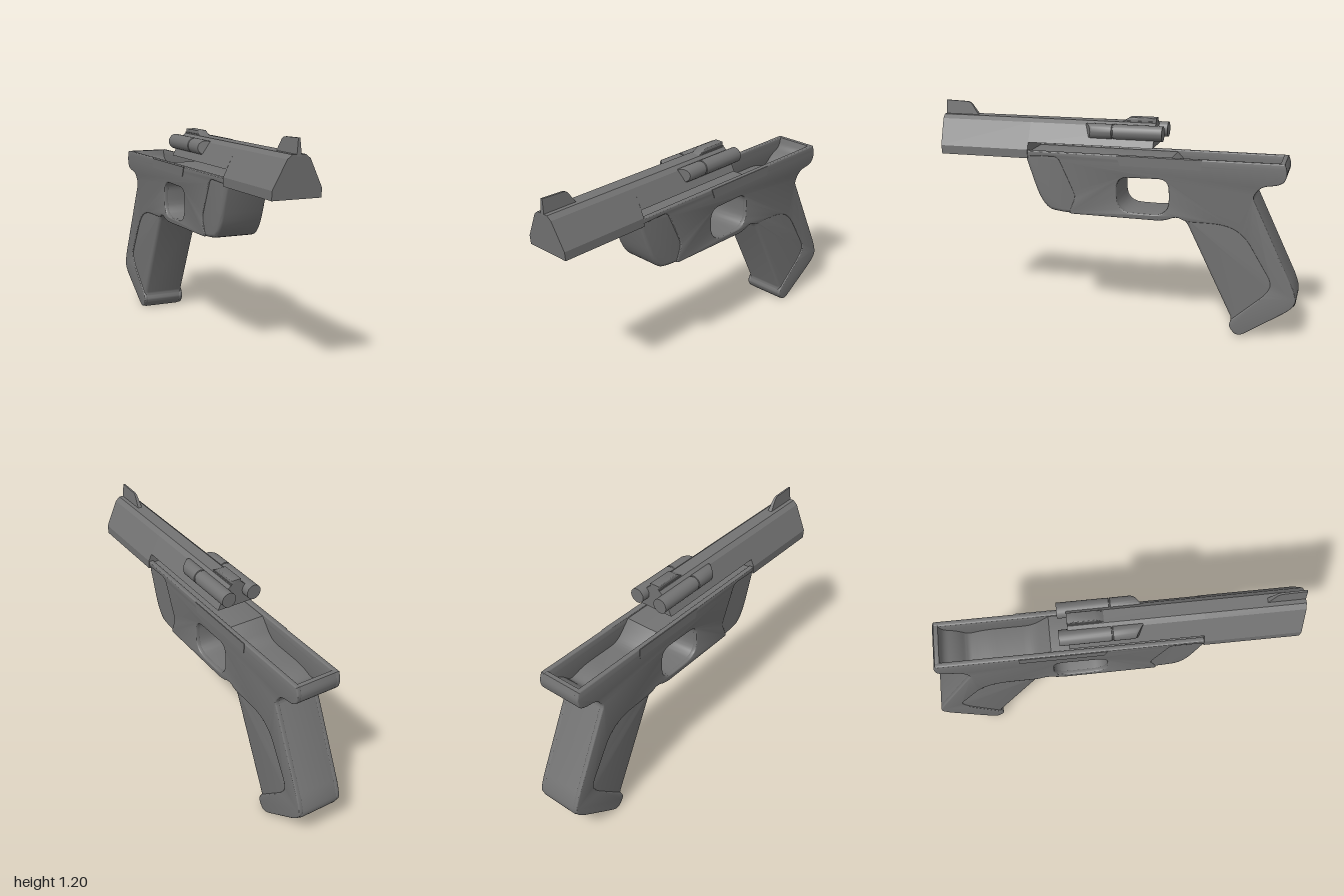
import * as THREE from 'three';
import { toCreasedNormals } from 'three/addons/utils/BufferGeometryUtils.js';

const material = new THREE.MeshStandardMaterial({ color: 0x737373 });

// Closed outline from [z, y, cornerRadius] points
function outline(points, target = new THREE.Shape()) {
  const n = points.length;
  points.forEach(([z, y, r = 0], i) => {
    const p = new THREE.Vector2(z, y);
    const toward = ([a, b]) => {
      const d = new THREE.Vector2(a, b).sub(p);
      return d.clone().setLength(Math.min(r, d.length() * 0.48)).add(p);
    };
    const a = r ? toward(points[(i + n - 1) % n]) : p;
    if (i === 0) target.moveTo(a.x, a.y); else target.lineTo(a.x, a.y);
    if (r) {
      const b = toward(points[(i + 1) % n]);
      target.quadraticCurveTo(z, y, b.x, b.y);
    }
  });
  target.closePath();
  return target;
}

// Side profile extruded across the model from x0 to x1
function slab(points, x0, x1, bevel = 0, holes = []) {
  const shape = outline(points);
  shape.holes = holes.map((h) => outline(h, new THREE.Path()));
  const g = new THREE.ExtrudeGeometry(shape, {
    depth: x1 - x0 - 2 * bevel, curveSegments: 6, bevelEnabled: bevel > 0,
    bevelSize: bevel, bevelThickness: bevel, bevelOffset: -bevel, bevelSegments: 3,
  });
  g.rotateY(-Math.PI / 2).translate(x1 - bevel, 0, 0);
  return toCreasedNormals(g, 0.6);
}

// Half cross-section [x, y] mirrored and extruded from z0 to z1
function bar(half, z0, z1) {
  const pts = [...half, ...half.map(([x, y]) => [-x, y]).reverse()];
  const g = new THREE.ExtrudeGeometry(outline(pts), { depth: z1 - z0, bevelEnabled: false });
  return g.translate(0, 0, z0);
}

export function createModel() {
  const model = new THREE.Group();
  const add = (name, geometry, parent = model) => {
    const m = new THREE.Mesh(geometry, material);
    m.name = name;
    parent.add(m);
    return m;
  };

  const guardHole = [[-0.02, 0.84, 0.06], [-0.305, 0.845, 0.06], [-0.31, 0.645, 0.09], [-0.02, 0.65, 0.09]];
  const underside = [[-0.28, 0.615, 0.04], [-0.35, 0.645, 0.04], [-0.4, 0.62, 0.03]];
  const heel = [[-0.66, 0.09, 0.02], [-0.645, 0.05, 0.03], [-0.695, -0.008, 0.05]];
  const back = [[-1.005, 0.195, 0.09], [-0.985, 0.28, 0.05], [-0.75, 0.775, 0.02],
    [-0.79, 0.835, 0.04], [-0.905, 0.85, 0.06], [-0.925, 0.91, 0.04], [-0.908, 0.96]];

  // Frame and grip core, with open rear well and recess in the grip base
  add('frameAndGripCore', slab([
    [0.485, 0.95], [0.495, 0.92, 0.02], [0.4, 0.64, 0.14], [0.27, 0.62, 0.06],
    ...underside, ...heel,
    [-0.735, 0.023], [-0.69, 0.09], [-0.89, 0.223], [-0.935, 0.157],
    ...back, [-0.885, 0.96], [-0.87, 0.905, 0.03], [-0.8, 0.875, 0.04], [-0.745, 0.82, 0.03],
    [-0.65, 0.85, 0.06], [-0.4, 0.85, 0.05], [-0.31, 0.95],
  ], -0.121, 0.121, 0.018, [guardHole]));

  // Outer side plates: leave the grip panel and front cheek slightly recessed
  const plate = [
    [0.485, 0.96], [0.49, 0.93], [0.31, 0.935, 0.03], [0.21, 0.72, 0.03], [0.25, 0.62, 0.02],
    ...underside, [-0.62, 0.62, 0.1], [-0.72, 0.56, 0.06], [-0.87, 0.31, 0.05], [-0.84, 0.25, 0.04],
    ...heel, ...back,
  ];
  for (const side of [1, -1]) {
    const label = side > 0 ? 'left' : 'right';
    const [a, b] = side > 0 ? [0.1, 0.127] : [-0.127, -0.1];
    add(label + 'SidePlate', slab(plate, a, b, 0.006, [guardHole]));
    const [c, d] = side > 0 ? [0.115, 0.13] : [-0.13, -0.115];
    add(label + 'Rail', slab([[-0.02, 0.958], [-0.04, 0.905], [-0.48, 0.905], [-0.48, 0.958]], c, d));
  }

  // Barrel: full-height front, with a slanted muzzle, and raised rear
  const roof = [[0.06, 1.105], [0.035, 1.125]];
  const front = bar([[0.13, 0.918], [0.13, 0.965], ...roof], 0.48, 1);
  const p = front.attributes.position;
  for (let i = 0; i < p.count; i++) {
    if (p.getZ(i) > 0.9) p.setZ(i, 1 - (1.125 - p.getY(i)) * 0.08);
  }
  front.computeVertexNormals();
  add('barrelFront', front);
  add('barrelRear', bar([[0.112, 1.003], ...roof], -0.215, 0.48));

  // Front sight: fin narrowing toward its top
  const fin = slab([[1, 1.115], [0.997, 1.2], [0.855, 1.195, 0.02], [0.8, 1.115]], -0.013, 0.013);
  const f = fin.attributes.position;
  for (let i = 0; i < f.count; i++) f.setX(i, f.getX(i) * (1 - (f.getY(i) - 1.115) * 7.5));
  fin.computeVertexNormals();
  add('frontSight', fin);

  // Rear sight: base and ramped block
  const rearSight = new THREE.Group();
  rearSight.name = 'rearSight';
  model.add(rearSight);
  add('sightBase', slab([[-0.02, 1.11], [-0.05, 1.132], [-0.215, 1.132], [-0.215, 1.11]], -0.033, 0.033), rearSight);
  add('sightBlock', slab([[-0.02, 1.12], [-0.07, 1.15], [-0.215, 1.15], [-0.215, 1.12]], -0.028, 0.028, 0.004), rearSight);

  // Side tubes: seam groove, and a nose cut back on its outer side
  const profile = [[0, -0.262], [0.041, -0.262], [0.041, 0.004], [0.037, 0.006], [0.037, 0.011],
    [0.041, 0.013], [0.041, 0.145], [0.037, 0.155], [0, 0.155]].map(([r, z]) => new THREE.Vector2(r, z));
  for (const s of [-1, 1]) {
    const tube = new THREE.LatheGeometry(profile, 20).rotateX(Math.PI / 2);
    const t = tube.attributes.position;
    for (let i = 0; i < t.count; i++) {
      if (t.getZ(i) > 0.1) t.setZ(i, t.getZ(i) - s * t.getX(i) * 0.7);
    }
    add(s > 0 ? 'leftTube' : 'rightTube', toCreasedNormals(tube, 0.5)).position.set(s * 0.075, 1.077, 0);
  }
  return model;
}
